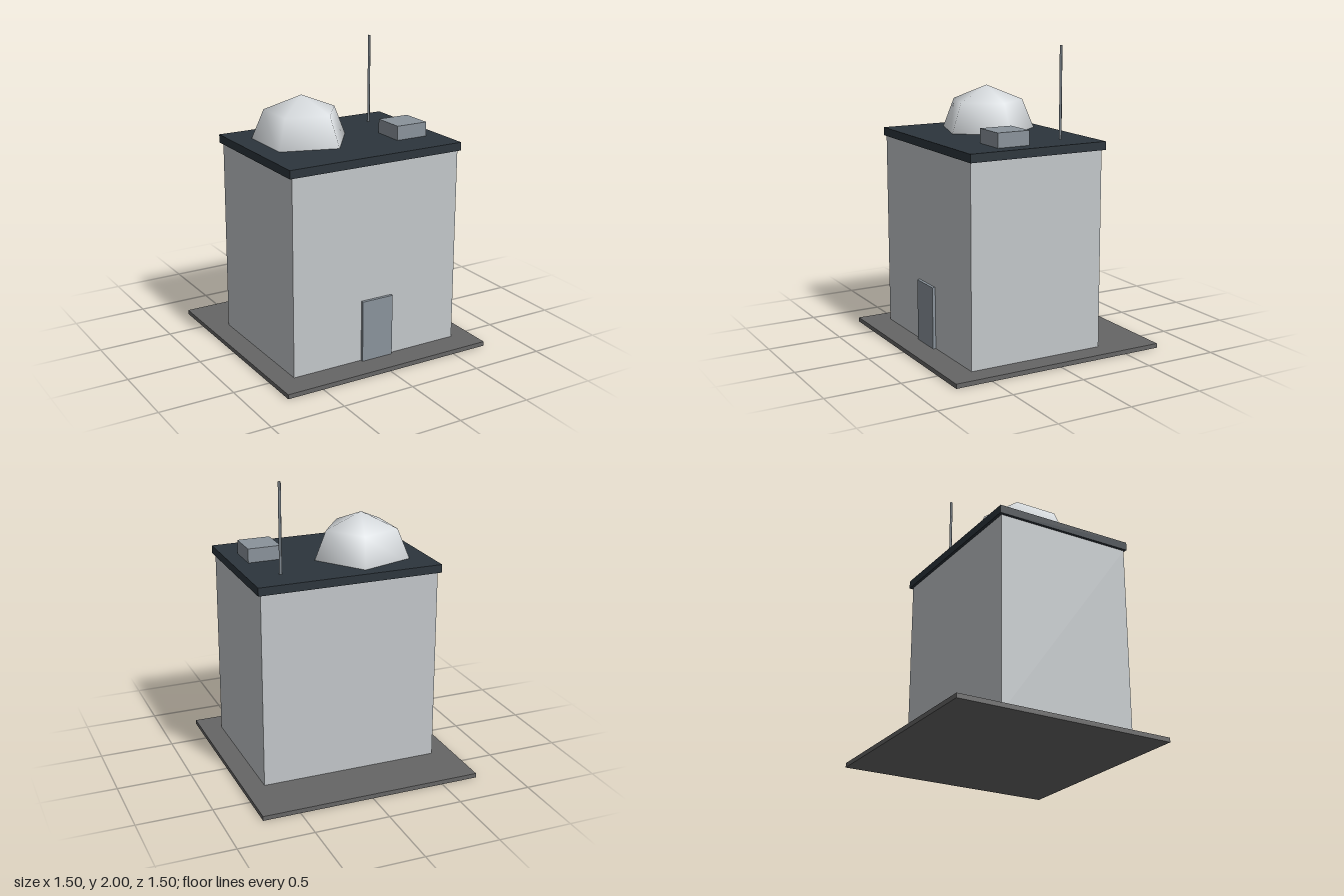
import * as THREE from 'three';

const mat = (name, color) => {
  const m = new THREE.MeshStandardMaterial({ color });
  m.name = name;
  return m;
};

export function createModel() {
  const group = new THREE.Group();
  group.name = 'domedBuilding';

  const wall = mat('paleGreyWall', 0xc3c7ca);
  const slate = mat('darkSlate', 0x2c353c);
  const metal = mat('blueGreyMetal', 0x8a939b);
  const paving = mat('greyPaving', 0x666666);
  const white = mat('offWhite', 0xd9dde0);

  const add = (name, geometry, material, x, y, z) => {
    const mesh = new THREE.Mesh(geometry, material);
    mesh.name = name;
    mesh.position.set(x, y, z);
    group.add(mesh);
    return mesh;
  };

  // Box given by its limits along each axis
  const box = (name, material, [x0, x1], [y0, y1], [z0, z1]) =>
    add(name, new THREE.BoxGeometry(x1 - x0, y1 - y0, z1 - z0), material,
      (x0 + x1) / 2, (y0 + y1) / 2, (z0 + z1) / 2);

  box('groundSlab', paving, [-0.75, 0.75], [0, 0.03], [-0.75, 0.75]);
  box('tower', wall, [-0.61, 0.61], [0.03, 1.345], [-0.375, 0.57]);
  box('roofSlab', slate, [-0.63, 0.63], [1.345, 1.4], [-0.394, 0.581]);
  box('door', metal, [-0.113, 0.113], [0.03, 0.446], [0.56, 0.59]);
  box('roofUnit', metal, [0.3, 0.525], [1.4, 1.495], [0.11, 0.335]);

  // Five-sided smooth dome, its base sunk into the roof
  const dome = new THREE.SphereGeometry(0.35, 5, 2, 0, Math.PI * 2, 0, Math.PI / 2);
  add('dome', dome, white, -0.225, 1.35, 0).rotation.y = Math.PI;

  // Four-sided antenna mast
  add('antenna', new THREE.CylinderGeometry(0.01, 0.01, 0.6, 4), metal, 0.41, 1.7, -0.19);

  return group;
}
